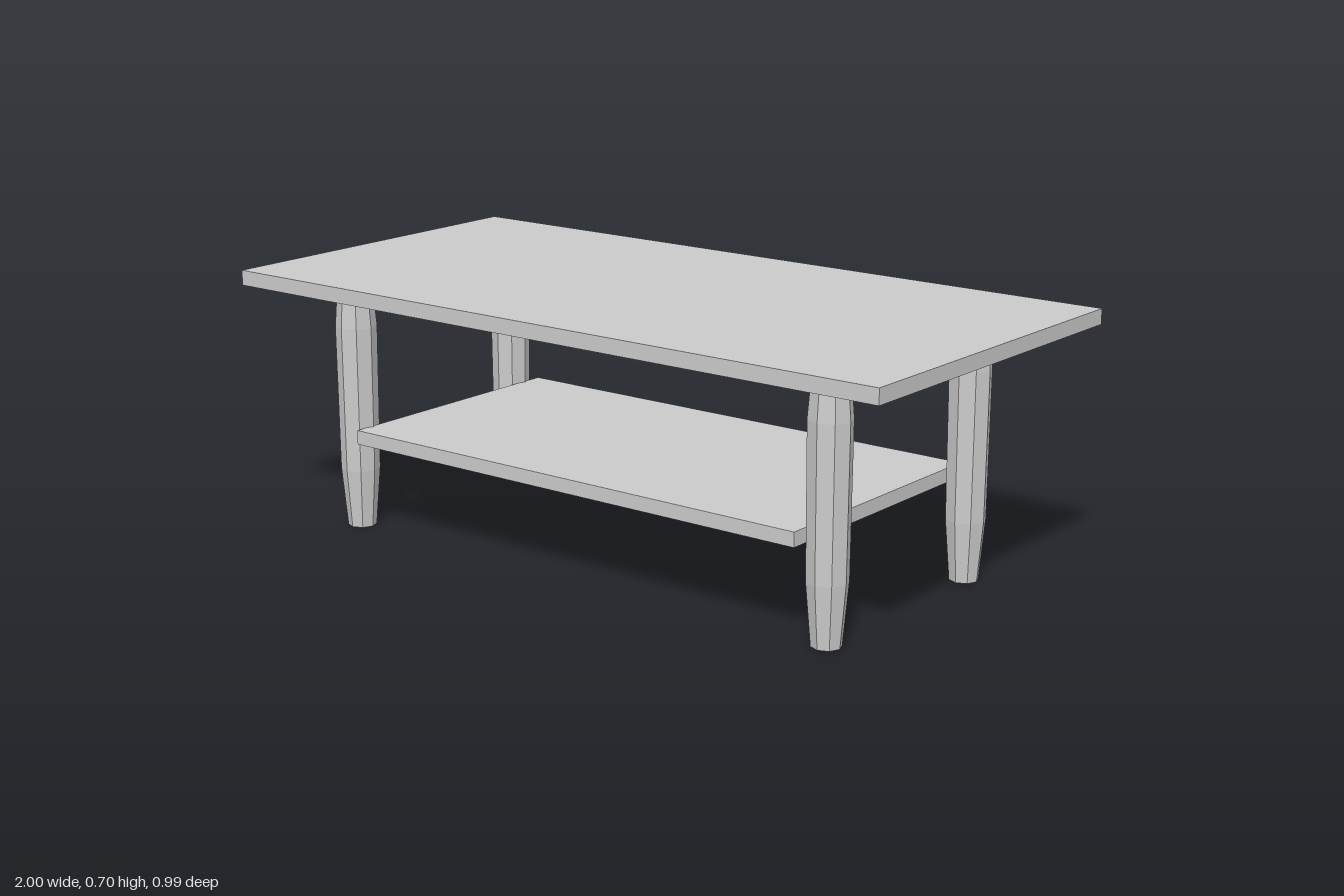
import * as THREE from 'three';

const material = new THREE.MeshStandardMaterial({ color: 0xcccccc, flatShading: true });

// Flat board spanning the given ranges
function board(name, [x0, x1], [y0, y1], [z0, z1]) {
  const mesh = new THREE.Mesh(new THREE.BoxGeometry(x1 - x0, y1 - y0, z1 - z0), material);
  mesh.position.set((x0 + x1) / 2, (y0 + y1) / 2, (z0 + z1) / 2);
  mesh.name = name;
  return mesh;
}

export function createModel() {
  const table = new THREE.Group();
  table.name = 'coffeeTable';

  table.add(board('tableTop', [-1, 1], [0.66, 0.7], [-0.496, 0.496]));
  table.add(board('lowerShelf', [-0.723, 0.692], [0.243, 0.281], [-0.365, 0.365]));

  // Eight-sided legs, tapered at both ends: [radius, height]
  const profile = [[0, 0], [0.038, 0], [0.052, 0.16], [0.055, 0.55], [0.046, 0.66], [0, 0.66]]
    .map(([r, y]) => new THREE.Vector2(r, y));
  const legGeometry = new THREE.LatheGeometry(profile, 8);

  for (const [side, x] of [['Right', -0.769], ['Left', 0.751]]) {
    for (const [end, z] of [['front', 0.311], ['back', -0.301]]) {
      const leg = new THREE.Mesh(legGeometry, material);
      leg.name = `${end}${side}Leg`;
      leg.position.set(x, 0, z);
      table.add(leg);
    }
  }
  return table;
}
